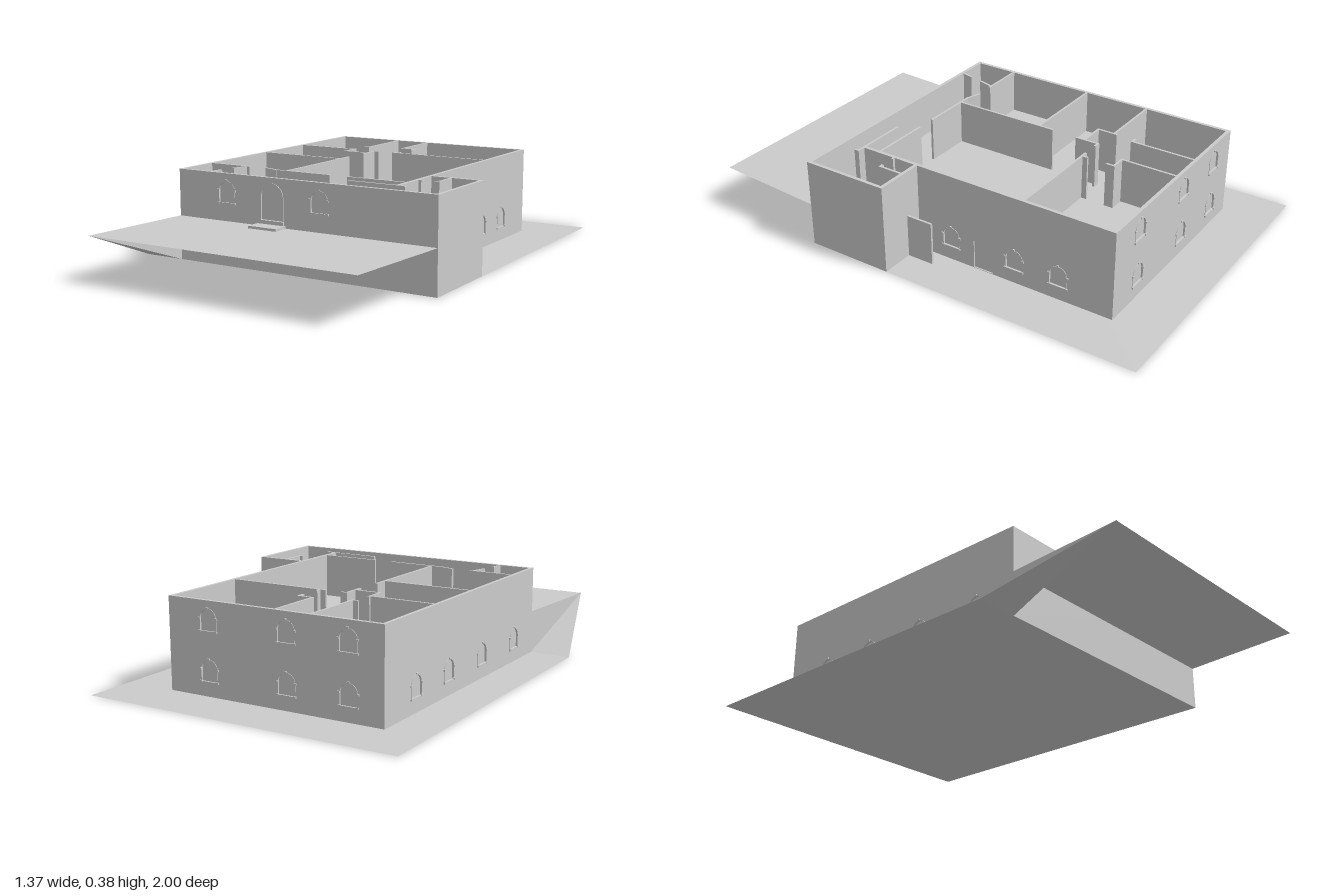
import * as THREE from 'three';

const H = 0.38, FLOOR = 0.19, T = 0.015, RECESS = 0.006;
const mat = new THREE.MeshStandardMaterial({ color: 0xcccccc, flatShading: true });
const thin = new THREE.MeshStandardMaterial({ color: 0xcccccc, flatShading: true, side: THREE.DoubleSide });

function add(parent, name, geometry, material = mat) {
  const mesh = new THREE.Mesh(geometry, material);
  mesh.name = name;
  parent.add(mesh);
  return mesh;
}

// Box given by its minimum and maximum corners
function block(parent, name, x0, y0, z0, x1, y1, z1) {
  const mesh = add(parent, name, new THREE.BoxGeometry(x1 - x0, y1 - y0, z1 - z0));
  mesh.position.set((x0 + x1) / 2, (y0 + y1) / 2, (z0 + z1) / 2);
  return mesh;
}

// Outline of an opening, with a round head when arched
function outline(target, u, y, w, h, arched) {
  const r = w / 2;
  target.moveTo(u - r, y);
  target.lineTo(u + r, y);
  if (arched) {
    target.lineTo(u + r, y + h - r);
    target.absarc(u, y + h - r, r, 0, Math.PI, false);
  } else {
    target.lineTo(u + r, y + h);
    target.lineTo(u - r, y + h);
  }
  target.lineTo(u - r, y);
  return target;
}

const extrude = (shape, depth) =>
  new THREE.ExtrudeGeometry(shape, { depth, bevelEnabled: false, curveSegments: 10 });

// Raised blocks around an arched window: sill ends, capitals, keystone
function windowTrim(parent, u, y) {
  const trim = new THREE.Group();
  trim.name = 'windowTrim';
  trim.position.set(u, y, 0);
  for (const s of [-1, 1]) {
    const sill = block(trim, 'sillEnd', -0.006, -0.005, -0.002, 0.006, 0.003, 0.006);
    sill.position.x = s * 0.039;
    const capital = block(trim, 'capital', -0.005, 0.046, -0.002, 0.005, 0.054, 0.005);
    capital.position.x = s * 0.041;
  }
  block(trim, 'sill', -0.036, -0.004, -0.002, 0.036, 0.001, 0.004);
  block(trim, 'keystone', -0.005, 0.086, -0.002, 0.005, 0.094, 0.005);
  const ring = outline(new THREE.Shape(), 0, 0, 0.082, 0.089, true);
  ring.holes.push(outline(new THREE.Path(), 0, 0.001, 0.074, 0.084, true));
  add(trim, 'frame', extrude(ring, 0.002));
  parent.add(trim);
}

// Outer wall along local x facing local +z, with recessed openings
function facade(parent, name, u0, u1, windows, doors, x, z, turn) {
  const wall = new THREE.Group();
  wall.name = name;
  const shape = new THREE.Shape();
  shape.moveTo(u0, 0);
  shape.lineTo(u1, 0);
  shape.lineTo(u1, H);
  shape.lineTo(u0, H);
  shape.lineTo(u0, 0);
  for (const [u, y] of windows) {
    shape.holes.push(outline(new THREE.Path(), u, y, 0.074, 0.085, true));
    windowTrim(wall, u, y);
  }
  for (const [u, y, w, h, arched] of doors) {
    shape.holes.push(outline(new THREE.Path(), u, y, w, h, arched));
  }
  add(wall, 'outerFace', extrude(shape, RECESS)).position.z = -RECESS;
  block(wall, 'innerFace', u0, 0, -T, u1, H, -RECESS);
  wall.position.set(x, 0, z);
  wall.rotation.y = turn;
  parent.add(wall);
}

// Straight partition between two plan points
function partition(parent, x0, z0, x1, z1, y0 = FLOOR, y1 = H, name = 'partition') {
  const length = Math.hypot(x1 - x0, z1 - z0);
  const mesh = add(parent, name, new THREE.BoxGeometry(length + 0.01, y1 - y0, 0.01));
  mesh.position.set((x0 + x1) / 2, (y0 + y1) / 2, (z0 + z1) / 2);
  mesh.rotation.y = -Math.atan2(z1 - z0, x1 - x0);
}

// Open surface from a few corners, fanned from the first
function sheet(parent, name, corners) {
  const positions = [];
  for (let i = 1; i < corners.length - 1; i++) {
    positions.push(...corners[0], ...corners[i], ...corners[i + 1]);
  }
  const geometry = new THREE.BufferGeometry();
  geometry.setAttribute('position', new THREE.Float32BufferAttribute(positions, 3));
  geometry.computeVertexNormals();
  add(parent, name, geometry, thin);
}

export function createModel() {
  const model = new THREE.Group();
  model.name = 'house';

  // Lower ground, raised front terrace and the bank joining them
  const P = 0.185;
  sheet(model, 'lowerGround', [[-0.69, 0, 0.5], [0.68, 0, 0.5], [0.68, 0, -1], [-0.69, 0, -1]]);
  sheet(model, 'frontTerrace', [[-0.51, P, 0.5], [-0.545, P, 1], [0.645, P, 1], [0.68, P, 0.5]]);
  sheet(model, 'bankSlope', [[-0.69, 0, 0.5], [-0.545, P, 1], [-0.51, 0, 0.5]]);
  sheet(model, 'bankSide', [[-0.51, 0, 0.5], [-0.545, P, 1], [-0.51, P, 0.5]]);

  // Outer walls
  const low = 0.06, high = 0.26;
  facade(model, 'frontWall', -0.51, 0.68, [[-0.27, high], [0.17, high]],
    [[-0.05, 0.205, 0.104, 0.15, true]], 0, 0.5, 0);
  const backWindows = [-0.27, 0.09, 0.36].flatMap((u) => [[u, low], [u, high]]);
  facade(model, 'backWall', -0.46, 0.51, backWindows, [], 0, -0.78, Math.PI);
  facade(model, 'leftWall', -0.395, 0.78, [0.04, 0.34, 0.54].map((u) => [u, low]),
    [[0.195, 0.002, 0.09, 0.123, false]], 0.46, 0, Math.PI / 2);
  facade(model, 'rightWall', -0.78, 0.5, [-0.55, -0.29, 0, 0.31].map((u) => [u, low]),
    [], -0.51, 0, -Math.PI / 2);
  facade(model, 'annexSideWall', -0.5, -0.12, [], [], 0.68, 0, Math.PI / 2);
  facade(model, 'annexBackWall', -0.68, -0.46, [], [], 0, 0.12, Math.PI);

  // Upper floor
  block(model, 'mainFloor', -0.5, FLOOR - 0.01, -0.77, 0.455, FLOOR, 0.49);
  block(model, 'annexFloor', 0.455, FLOOR - 0.01, 0.13, 0.67, FLOOR, 0.49);

  // Front door surround and steps
  const door = outline(new THREE.Shape(), -0.05, 0.205, 0.11, 0.153, true);
  door.holes.push(outline(new THREE.Path(), -0.05, 0.206, 0.1, 0.147, true));
  add(model, 'doorFrame', extrude(door, 0.003)).position.z = 0.5;
  block(model, 'doorStep', -0.115, 0.185, 0.5, 0.015, 0.195, 0.57);
  block(model, 'doorSill', -0.108, 0.195, 0.495, 0.008, 0.21, 0.507);

  // Room partitions as plan lines: x0, z0, x1, z1
  const rooms = new THREE.Group();
  rooms.name = 'partitions';
  model.add(rooms);
  const plan = [
    // back rooms
    [-0.195, -0.77, -0.195, -0.49], [-0.217, -0.487, -0.195, -0.487],
    [-0.037, -0.77, -0.037, -0.525], [-0.037, -0.525, 0.027, -0.525],
    [0.027, -0.525, 0.027, -0.495], [0.025, -0.4, 0.025, -0.378],
    [0, -0.378, 0.45, -0.378], [-0.5, -0.39, -0.215, -0.39],
    [-0.215, -0.4, -0.215, -0.315], [-0.215, -0.315, -0.1, -0.315],
    [-0.1, -0.378, -0.1, -0.28], [-0.1, -0.378, -0.08, -0.378],
    // middle rooms
    [-0.5, -0.092, -0.105, -0.092], [-0.105, -0.155, -0.105, 0.317],
    [-0.155, 0.317, 0.1, 0.317], [-0.215, 0.297, -0.155, 0.317],
    [0.19, 0.317, 0.45, 0.317],
    // front hall
    [-0.5, 0.3, -0.305, 0.3], [-0.318, 0.31, -0.333, 0.365],
    [-0.35, 0.435, -0.358, 0.475], [0.24, 0.395, 0.49, 0.395],
    [0.49, 0.395, 0.49, 0.407],
    // annex
    [0.545, 0.13, 0.545, 0.235], [0.533, 0.237, 0.545, 0.237], [0.46, 0.237, 0.467, 0.237],
  ];
  for (const line of plan) partition(rooms, ...line);

  // Free-standing yard wall behind the annex
  partition(model, 0.53, 0.008, 0.53, 0.12, 0, P, 'yardWall');

  return model;
}
